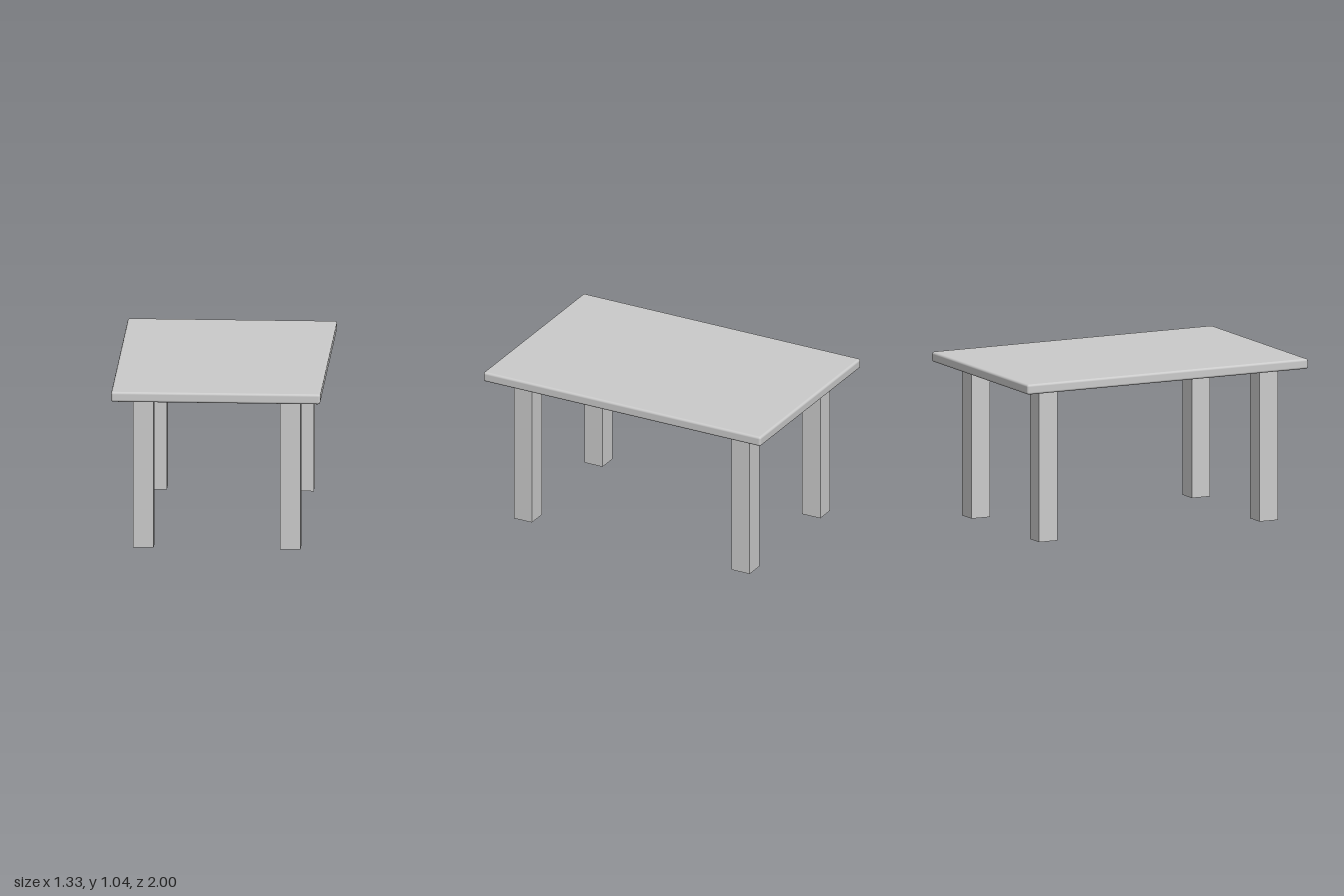
import * as THREE from 'three';
import { RoundedBoxGeometry } from 'three/addons/geometries/RoundedBoxGeometry.js';

export function createModel() {
  const table = new THREE.Group();
  table.name = 'table';
  const material = new THREE.MeshStandardMaterial({ color: 0xcccccc });

  const legHeight = 0.98;
  const legWidth = 0.13;
  const topThickness = 0.065;

  // Slab with softly rounded edges
  const top = new THREE.Mesh(new RoundedBoxGeometry(1.325, topThickness, 2, 4, 0.015), material);
  top.name = 'tabletop';
  top.position.y = legHeight + topThickness / 2;
  table.add(top);

  // Four square legs, set in from the corners
  const legGeometry = new THREE.BoxGeometry(legWidth, legHeight, legWidth);
  for (const [zName, z] of [['front', 1], ['back', -1]]) {
    for (const [xName, x] of [['Left', 1], ['Right', -1]]) {
      const leg = new THREE.Mesh(legGeometry, material);
      leg.name = `${zName}${xName}Leg`;
      leg.position.set(x * 0.465, legHeight / 2, z * 0.785);
      table.add(leg);
    }
  }

  return table;
}
